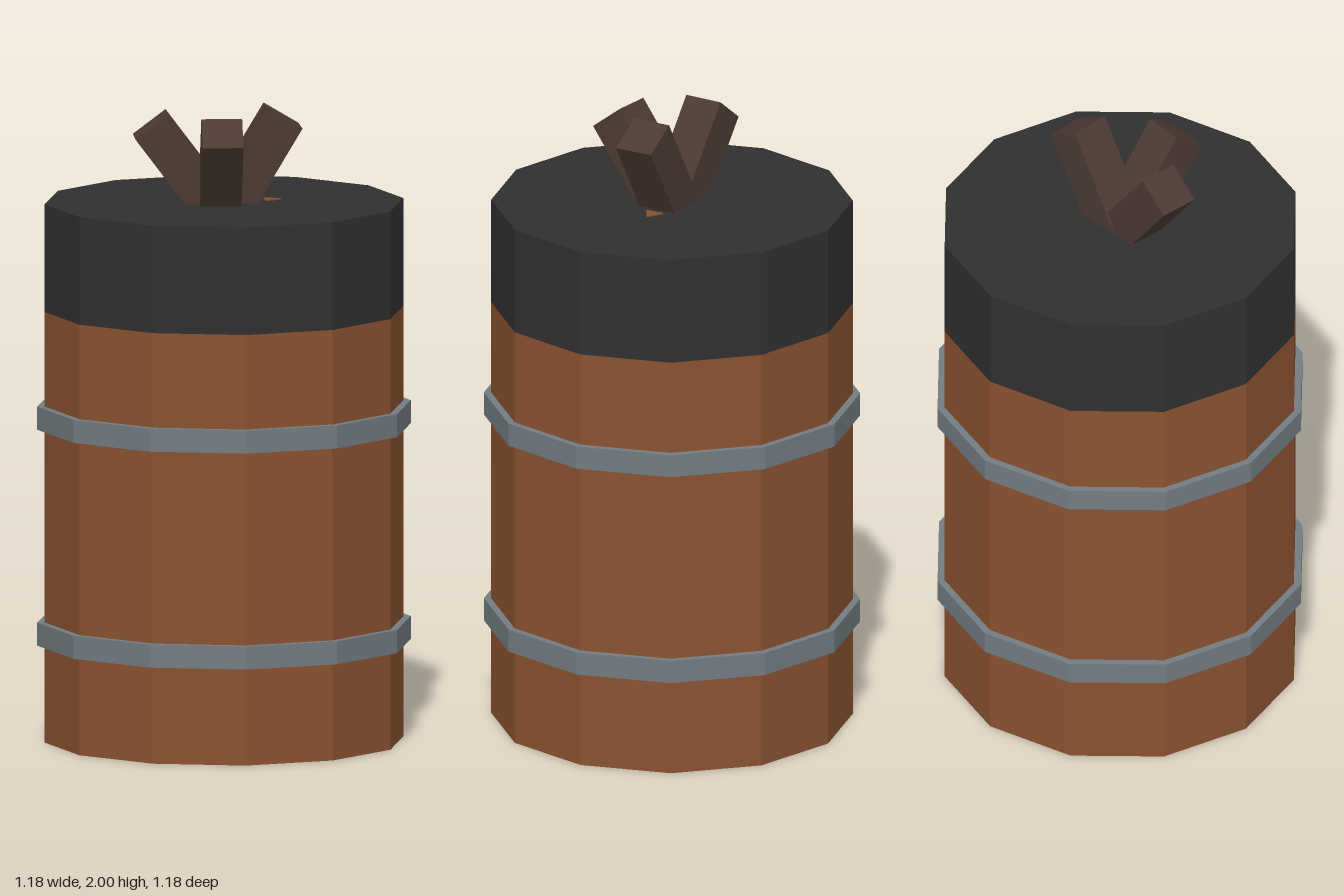
import * as THREE from 'three';

export function createModel() {
  const model = new THREE.Group();
  const mat = (name, color) => {
    const m = new THREE.MeshStandardMaterial({ color, flatShading: true });
    m.name = name;
    return m;
  };
  const wood = mat('wood', 0x8a5230);
  const iron = mat('iron', 0x727c82);
  const black = mat('black lid', 0x303030);
  const bark = mat('dark stick', 0x4c3a33);

  const add = (name, geometry, material, y = 0) => {
    const mesh = new THREE.Mesh(geometry, material);
    mesh.name = name;
    mesh.position.y = y;
    model.add(mesh);
    return mesh;
  };

  // Twelve-sided barrel with a black upper section
  const R = 0.565, SIDES = 12;
  add('barrelBody', new THREE.CylinderGeometry(R, R, 1.36, SIDES), wood, 0.68);
  add('barrelLid', new THREE.CylinderGeometry(R, R, 0.34, SIDES), black, 1.53);

  // Iron hoops
  for (const [name, y] of [['lowerHoop', 0.343], ['upperHoop', 1.025]]) {
    add(name, new THREE.CylinderGeometry(0.588, 0.588, 0.073, SIDES), iron, y);
  }

  // Square sticks leaning outwards: tip centre, then outward lean in x and z
  const sticks = [
    ['rightStick', [-0.205, 1.945, 0.105], [-0.89, 0.45], 37],
    ['frontStick', [0.08, 1.945, 0.2], [0.43, 0.9], 37],
    ['leftStick', [0.16, 1.967, -0.095], [0.87, -0.48], 31],
  ];
  const length = 0.42;
  for (const [name, tip, [dx, dz], lean] of sticks) {
    const geometry = new THREE.BoxGeometry(0.128, length, 0.128);
    geometry.translate(0, -length / 2, 0);
    const stick = add(name, geometry, bark);
    stick.position.set(...tip);
    stick.rotation.set(THREE.MathUtils.degToRad(lean), Math.atan2(dx, dz), 0, 'YXZ');
  }

  // Small wood chip lying under the left stick
  const chip = add('woodChip', new THREE.CylinderGeometry(0.035, 0.035, 0.004, 3), wood, 1.702);
  chip.position.x = 0.12;
  chip.position.z = -0.085;

  return model;
}
